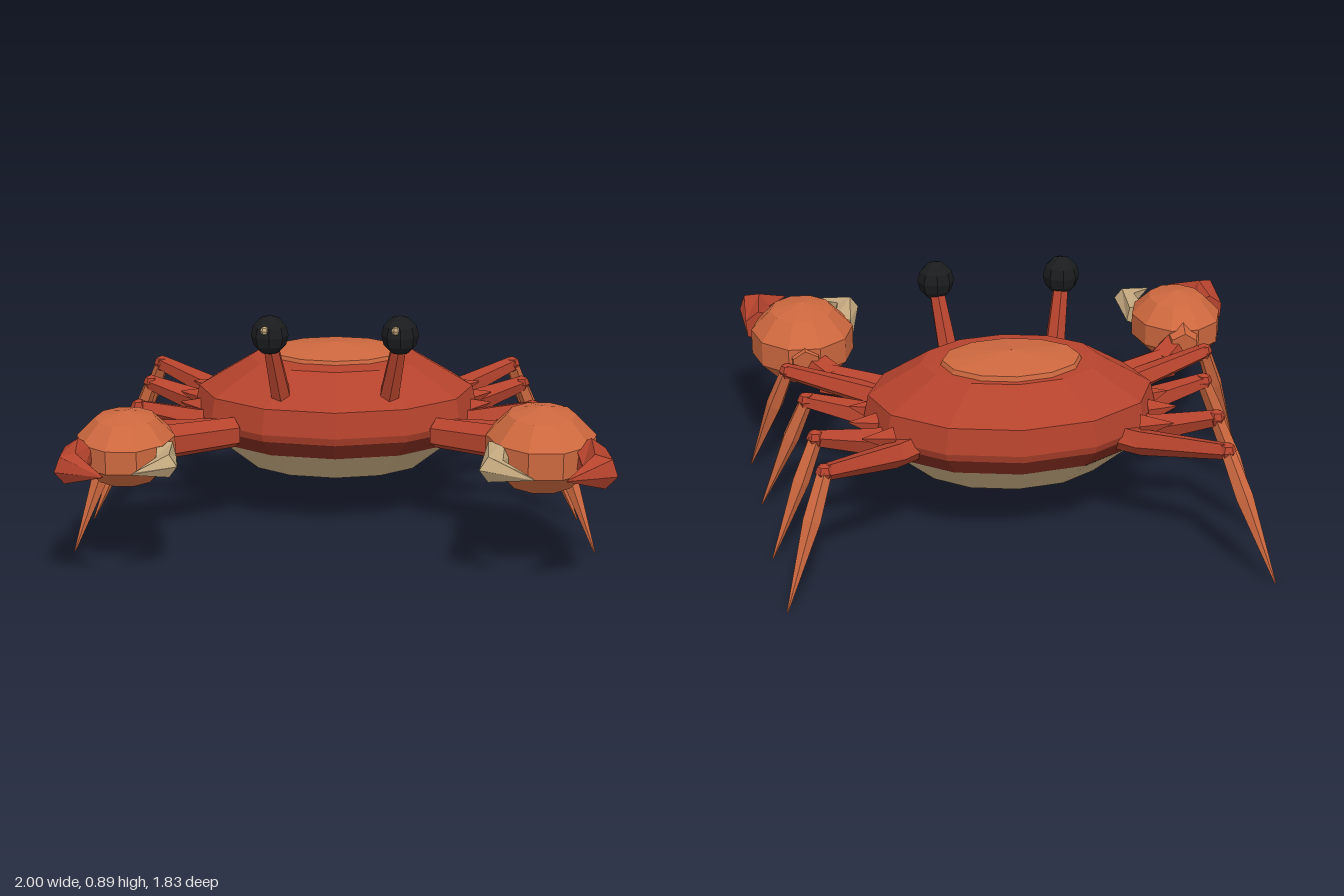
import * as THREE from 'three';

const mat = (name, color) => Object.assign(new THREE.MeshStandardMaterial({ color }), { name });

export function createModel() {
  const red = mat('shell red', 0xb5432d);
  const darkRed = mat('dark red', 0x7c2a1e);
  const orange = mat('claw orange', 0xcd683f);
  const cream = mat('cream', 0xc6aa80);
  const black = mat('eye black', 0x1b1c1e);
  const crab = new THREE.Group();
  crab.name = 'crab';

  // Faceted mesh: unshared vertices give every face its own normal
  const add = (name, geometry, material) => {
    const g = geometry.index ? geometry.toNonIndexed() : geometry;
    g.computeVertexNormals();
    const mesh = new THREE.Mesh(g, material);
    mesh.name = name;
    crab.add(mesh);
    return mesh;
  };

  // Twelve-sided oval body part from [radius, height] pairs, bottom to top
  const oval = (name, profile, z, material) => {
    const g = new THREE.LatheGeometry(profile.map(([r, y]) => new THREE.Vector2(r, y)), 12);
    g.scale(1, 1, 0.714).translate(0, 0, z);
    add(name, g, material);
  };

  // Tapered limb bent along a few points, with one radius per point
  const limb = (name, path, radii, sides, material) => {
    const pts = path.map((p) => new THREE.Vector3(...p));
    const n = pts.length - 1;
    const g = new THREE.CylinderGeometry(1, 1, 1, sides, n);
    const up = new THREE.Vector3(0, 1, 0);
    const turns = pts.map((p, i) => {
      const dir = pts[Math.min(i + 1, n)].clone().sub(pts[Math.max(i - 1, 0)]).normalize();
      return new THREE.Quaternion().setFromUnitVectors(up, dir);
    });
    const pos = g.attributes.position;
    const v = new THREE.Vector3();
    for (let k = 0; k < pos.count; k++) {
      v.fromBufferAttribute(pos, k);
      const i = Math.round((v.y + 0.5) * n);
      v.setY(0).multiplyScalar(radii[i]).applyQuaternion(turns[i]).add(pts[i]);
      pos.setXYZ(k, v.x, v.y, v.z);
    }
    return add(name, g, material);
  };

  const ball = (name, center, radii, segments, rows, material) => {
    const g = new THREE.SphereGeometry(1, segments, rows);
    g.scale(...radii).translate(...center);
    return add(name, g, material);
  };

  // Body
  oval('shell', [[0.545, 0.38], [0.56, 0.41], [0.54, 0.51], [0.34, 0.63], [0.001, 0.645]], -0.2, red);
  oval('shellUnderside', [[0.48, 0.31], [0.545, 0.38]], -0.2, darkRed);
  oval('belly', [[0.001, 0.16], [0.35, 0.205], [0.49, 0.315]], -0.2, cream);
  oval('shellPatch', [[0.27, 0.625], [0.26, 0.65], [0.001, 0.68]], -0.23, orange);

  // Legs, back to front: hip, femur start, knee, tip
  const legs = [
    [[0.38, 0.39, -0.42], [0.46, 0.39, -0.48], [0.73, 0.45, -0.72], [0.885, 0, -0.915]],
    [[0.44, 0.39, -0.32], [0.54, 0.39, -0.355], [0.75, 0.45, -0.43], [0.925, 0, -0.505]],
    [[0.44, 0.39, -0.13], [0.54, 0.39, -0.12], [0.77, 0.45, -0.09], [0.955, 0, -0.053]],
    [[0.38, 0.39, 0], [0.47, 0.39, 0.035], [0.83, 0.45, 0.2], [0.988, 0, 0.317]],
  ];

  for (const s of [1, -1]) {
    const side = s > 0 ? 'left' : 'right';
    const m = ([x, y, z]) => [s * x, y, z];

    legs.forEach(([hip, start, knee, tip], i) => {
      const id = `${side}Leg${i + 1}`;
      limb(`${id}Upper`, [hip, start, knee].map(m), [0.05, 0.052, 0.032], 5, red);
      ball(`${id}Knee`, m(knee), [0.034, 0.034, 0.034], 6, 4, red);
      limb(`${id}Lower`, [knee, knee.map((k, j) => k + (tip[j] - k) * 0.35), tip].map(m),
        [0.028, 0.034, 0.003], 5, orange);
    });

    // Spines along the shell edge
    [[0.47, -0.42, 0.58, -0.46], [0.52, -0.29, 0.62, -0.31], [0.52, -0.17, 0.61, -0.165]]
      .forEach(([x0, z0, x1, z1], i) => limb(`${side}Spine${i + 1}`,
        [m([x0, 0.43, z0]), m([x1, 0.45, z1])], [0.045, 0.003], 5, red));

    // Eye on its stalk, with a small glint
    limb(`${side}EyeStalk`, [m([0.205, 0.53, 0.07]), m([0.245, 0.79, 0.168])], [0.042, 0.03], 6, red);
    ball(`${side}Eye`, m([0.245, 0.815, 0.175]), [0.071, 0.076, 0.071], 8, 6, black);
    ball(`${side}EyeGlint`, [s * 0.245 - 0.017, 0.845, 0.229], [0.017, 0.017, 0.017], 6, 4, cream);

    // Arm
    limb(`${side}UpperArm`, [m([0.39, 0.395, 0.06]), m([0.68, 0.4, 0.22])], [0.06, 0.068], 6, red);
    limb(`${side}Forearm`, [m([0.65, 0.4, 0.2]), m([0.75, 0.45, 0.31])], [0.066, 0.06], 6, red);
    limb(`${side}Wrist`, [m([0.755, 0.46, 0.23]), m([0.76, 0.47, 0.33])], [0.058, 0.075], 6, orange);
  }

  // Claws: the left one is larger
  const claws = [
    { side: 'left', center: [0.76, 0.47, 0.475], size: [0.214, 0.16, 0.256],
      outer: [[0.925, 0.48, 0.6], [0.945, 0.485, 0.8], [0.818, 0.485, 0.91]],
      inner: [[0.6, 0.475, 0.55], [0.565, 0.48, 0.76], [0.705, 0.48, 0.88]], k: 1 },
    { side: 'right', center: [-0.765, 0.47, 0.475], size: [0.19, 0.14, 0.226],
      outer: [[-0.925, 0.475, 0.58], [-0.938, 0.48, 0.765], [-0.812, 0.48, 0.862]],
      inner: [[-0.62, 0.475, 0.55], [-0.6, 0.48, 0.73], [-0.712, 0.48, 0.832]], k: 0.9 },
  ];
  for (const { side, center, size, outer, inner, k } of claws) {
    ball(`${side}Palm`, center, size, 10, 5, orange);
    limb(`${side}OuterPincer`, outer, [0.066 * k, 0.066 * k, 0.003], 6, red);
    limb(`${side}InnerPincer`, inner, [0.054 * k, 0.05 * k, 0.003], 5, cream);
  }

  return crab;
}
